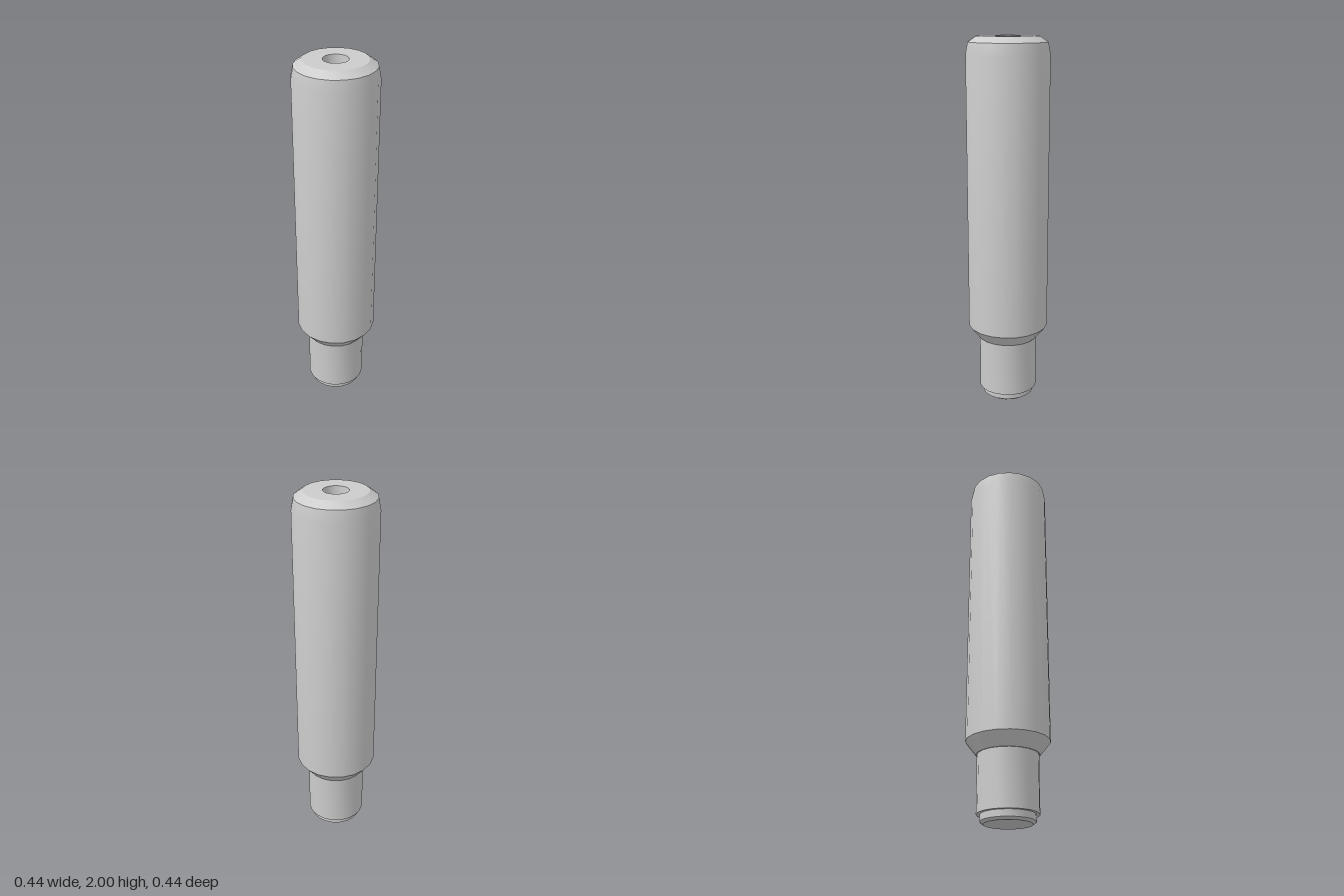
import * as THREE from 'three';
import { toCreasedNormals } from 'three/addons/utils/BufferGeometryUtils.js';

const SIDES = 20;
const material = new THREE.MeshStandardMaterial({ color: 0xcccccc });

// Turned part from a [radius, height] profile, listed from bottom to top
function turned(name, profile) {
  const points = profile.map(([r, y]) => new THREE.Vector2(r, y));
  const geometry = toCreasedNormals(new THREE.LatheGeometry(points, SIDES), Math.PI / 6);
  const mesh = new THREE.Mesh(geometry, material);
  mesh.name = name;
  return mesh;
}

export function createModel() {
  const model = new THREE.Group();
  model.name = 'pin';

  // Long barrel: chamfered foot, softened shoulder and blind tapered hole in the top
  model.add(turned('barrel', [
    [0.16, 0.35], [0.165, 0.35], [0.221, 0.42], [0.221, 1.91], [0.209, 1.97],
    [0.165, 2], [0.065, 2], [0.056, 1.87], [0, 1.87],
  ]));

  // Narrow shank below the barrel
  model.add(turned('shank', [[0.142, 0.047], [0.16, 0.047], [0.16, 0.35]]));

  // Stepped tip with a small chamfer at the very bottom
  model.add(turned('tip', [[0, 0], [0.125, 0], [0.142, 0.012], [0.142, 0.047]]));

  return model;
}
